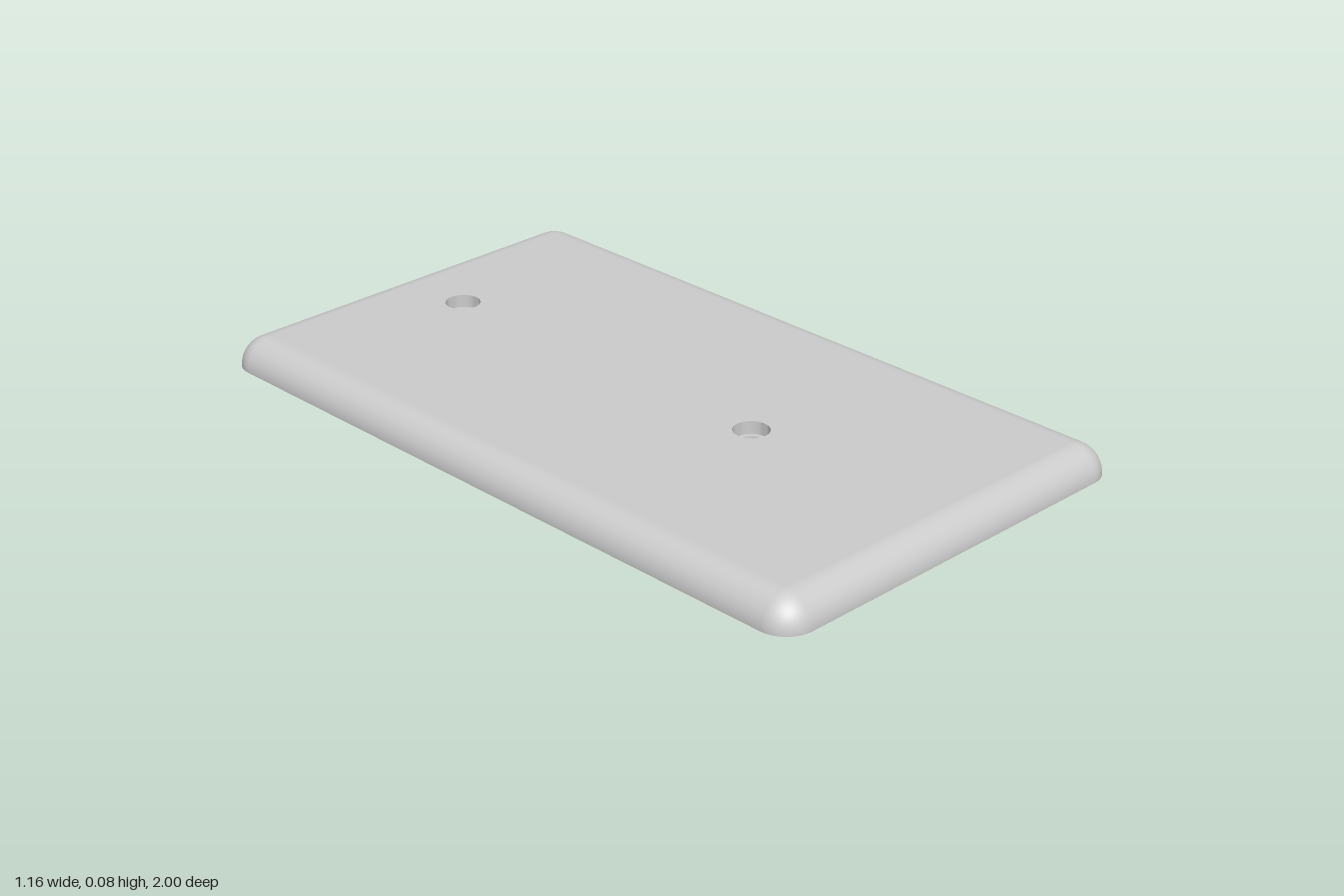
import * as THREE from 'three';
import { toCreasedNormals } from 'three/addons/utils/BufferGeometryUtils.js';

const HALF_W = 0.58, HALF_L = 1.0, HEIGHT = 0.08;
const RIM = 0.028, FLOOR = 0.045, BOSS_END = 0.022;
const BORE_R = 0.047, HOLE_R = 0.033, BOSS_R = 0.1;
const HOLES_Z = [-0.735, 0.335];

// Quarter-round edge swept around a rectangle, with ball corners.
// cx, cz: corner ball centres; r: plan radius; h: rise; inward flips it.
function roundedEdge(cx, cz, r, h, inward) {
  const pos = [], nor = [], idx = [];
  const steps = 12, arc = 10, n = 4 * (arc + 1), s = inward ? -1 : 1;
  const normal = new THREE.Vector3();
  for (let j = 0; j <= steps; j++) {
    const up = (j / steps) * Math.PI / 2;
    for (let q = 0; q < 4; q++) {
      const sx = q === 0 || q === 3 ? 1 : -1, sz = q < 2 ? 1 : -1;
      for (let k = 0; k <= arc; k++) {
        const a = (q + k / arc) * Math.PI / 2;
        const c = Math.cos(a), d = Math.sin(a);
        pos.push(sx * cx + r * Math.cos(up) * c, h * Math.sin(up), sz * cz + r * Math.cos(up) * d);
        normal.set(Math.cos(up) * c / r, Math.sin(up) / h, Math.cos(up) * d / r).normalize().multiplyScalar(s);
        nor.push(normal.x, normal.y, normal.z);
      }
    }
  }
  for (let j = 0; j < steps; j++) {
    for (let i = 0; i < n; i++) {
      const a = j * n + i, b = j * n + (i + 1) % n, c = a + n, d = b + n;
      if (inward) idx.push(a, b, c, b, d, c);
      else idx.push(a, c, b, b, c, d);
    }
  }
  const g = new THREE.BufferGeometry();
  g.setAttribute('position', new THREE.Float32BufferAttribute(pos, 3));
  g.setAttribute('normal', new THREE.Float32BufferAttribute(nor, 3));
  g.setIndex(idx);
  return g;
}

// Rounded rectangle outline in plan
function outline(cx, cz, r, Type) {
  const p = new Type();
  if (r === 0) {
    p.moveTo(cx, -cz).lineTo(cx, cz).lineTo(-cx, cz).lineTo(-cx, -cz).lineTo(cx, -cz);
    return p;
  }
  p.absarc(cx, cz, r, 0, Math.PI / 2);
  p.absarc(-cx, cz, r, Math.PI / 2, Math.PI);
  p.absarc(-cx, -cz, r, Math.PI, Math.PI * 1.5);
  p.absarc(cx, -cz, r, Math.PI * 1.5, Math.PI * 2);
  p.closePath();
  return p;
}

// Flat panel pierced by the screw positions, facing up or down
function panel(cx, cz, holeR, y, up) {
  const shape = outline(cx, cz, 0, THREE.Shape);
  for (const z of HOLES_Z) {
    const hole = new THREE.Path();
    hole.absarc(0, up ? -z : z, holeR, 0, Math.PI * 2, true);
    shape.holes.push(hole);
  }
  const g = new THREE.ShapeGeometry(shape, 20);
  g.rotateX(up ? -Math.PI / 2 : Math.PI / 2);
  g.translate(0, y, 0);
  return g;
}

export function createModel() {
  const group = new THREE.Group();
  group.name = 'wallPlate';
  const plastic = new THREE.MeshStandardMaterial({ color: 0xcccccc });
  plastic.name = 'light grey plastic';
  const add = (name, geometry) => {
    const m = new THREE.Mesh(geometry, plastic);
    m.name = name;
    group.add(m);
    return m;
  };

  const cx = HALF_W - HEIGHT, cz = HALF_L - HEIGHT, innerR = HEIGHT - RIM;

  // Outer shell
  add('outerEdge', roundedEdge(cx, cz, HEIGHT, HEIGHT, false));
  add('facePanel', panel(cx, cz, BORE_R, HEIGHT, true));

  // Hollow back
  add('innerEdge', roundedEdge(cx, cz, innerR, FLOOR, true));
  add('backPanel', panel(cx, cz, BOSS_R, FLOOR, false));

  // Flat rim that rests on the ground
  const rimShape = outline(cx, cz, HEIGHT, THREE.Shape);
  rimShape.holes.push(outline(cx, cz, innerR, THREE.Path));
  add('bottomRim', new THREE.ShapeGeometry(rimShape, 10).rotateX(Math.PI / 2));

  // Screw holes: counterbore from above, boss below
  const profile = [
    [BORE_R, HEIGHT], [BORE_R, FLOOR], [HOLE_R, FLOOR],
    [HOLE_R, BOSS_END], [BOSS_R, BOSS_END], [BOSS_R, FLOOR],
  ].map(([x, y]) => new THREE.Vector2(x, y));
  for (const z of HOLES_Z) {
    const g = toCreasedNormals(new THREE.LatheGeometry(profile, 40), Math.PI / 5);
    add('screwBoss', g).position.z = z;
  }
  return group;
}
